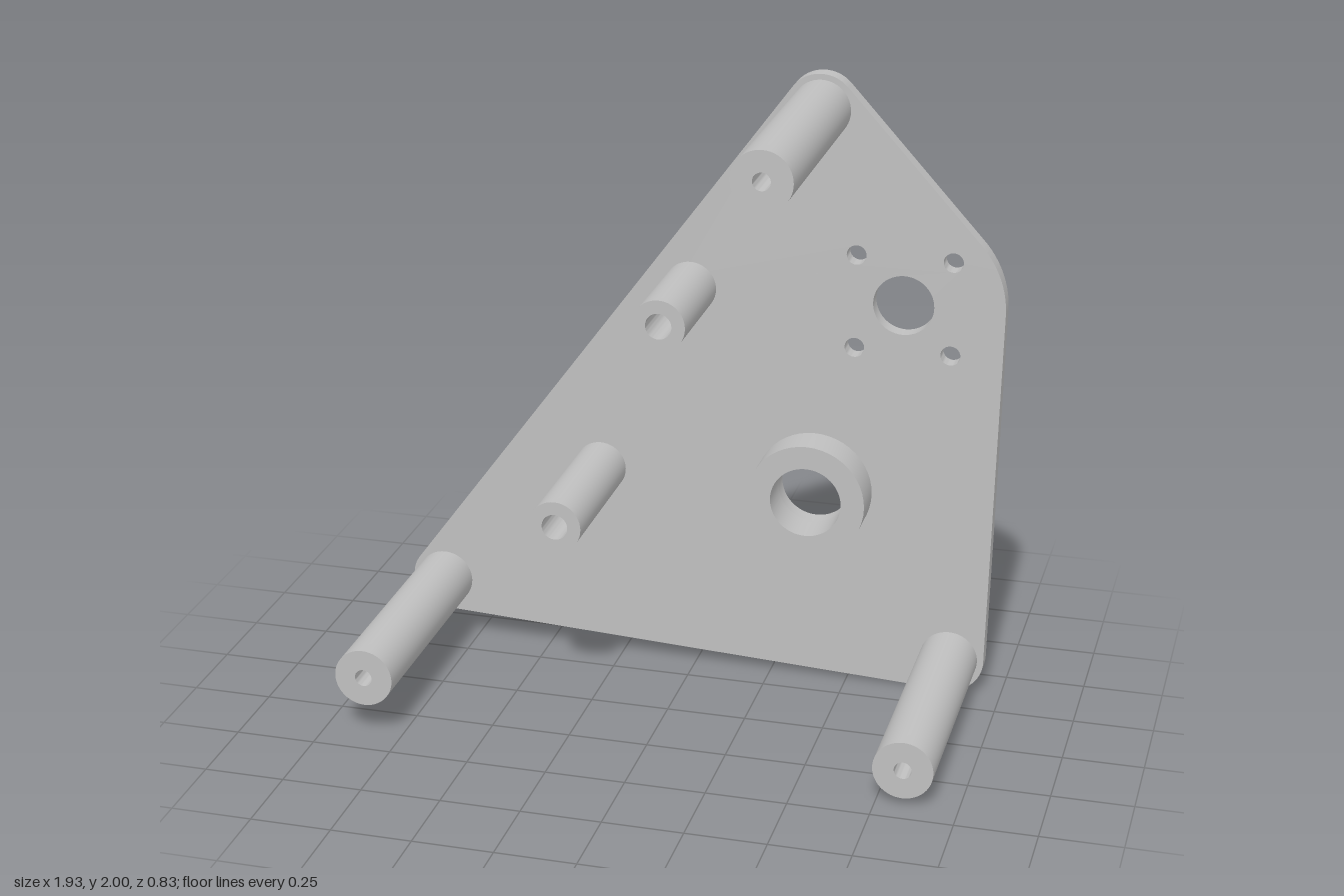
import * as THREE from 'three';
import { toCreasedNormals } from 'three/addons/utils/BufferGeometryUtils.js';

const BACK = -0.415, FACE = -0.362, FRONT = 0.415;

// Rounded outline wrapped around circles [x, y, r] listed counterclockwise
function hullShape(circles) {
  const n = circles.length;
  const normals = circles.map(([x, y, r], i) => {
    const [x2, y2, r2] = circles[(i + 1) % n];
    const dx = x2 - x, dy = y2 - y;
    return Math.atan2(dy, dx) - Math.acos((r - r2) / Math.hypot(dx, dy));
  });
  const shape = new THREE.Shape();
  circles.forEach(([x, y, r], i) => {
    shape.absarc(x, y, r, normals[(i + n - 1) % n], normals[i], false);
  });
  shape.closePath();
  return shape;
}

// Bored cylinder along z; a depth makes the bore blind, otherwise it goes through
function boredCylinder(radius, bore, front, depth) {
  const profile = [[radius, FACE], [radius, front], [bore, front]];
  if (depth) profile.push([bore, front - depth], [0, front - depth]);
  else profile.push([bore, FACE]);
  const lathe = new THREE.LatheGeometry(profile.map(([x, y]) => new THREE.Vector2(x, y)), 48);
  return toCreasedNormals(lathe.rotateX(Math.PI / 2), Math.PI / 5);
}

export function createModel() {
  const group = new THREE.Group();
  const metal = new THREE.MeshStandardMaterial({ color: 0xc0c0c0 });
  metal.name = 'grey metal';

  const add = (name, geometry, x = 0, y = 0) => {
    const mesh = new THREE.Mesh(geometry, metal);
    mesh.name = name;
    mesh.position.set(x, y, 0);
    group.add(mesh);
  };

  // Mounting plate with its through holes
  const plate = hullShape([
    [-0.86, 0.2, 0.11], [0.83, 0.115, 0.112], [0.65, 1.29, 0.315], [0.38, 1.89, 0.11],
  ]);
  const holes = [
    [0.65, 1.29, 0.095], [0.38, 0.655, 0.113], [-0.025, 1.29, 0.041], [-0.32, 0.655, 0.041],
  ];
  for (const sx of [-1, 1]) {
    for (const sy of [-1, 1]) holes.push([0.65 + sx * 0.15, 1.29 + sy * 0.15, 0.031]);
  }
  for (const [x, y, r] of holes) {
    plate.holes.push(new THREE.Path().absarc(x, y, r, 0, Math.PI * 2, true));
  }
  const plateGeometry = new THREE.ExtrudeGeometry(plate, {
    depth: FACE - BACK, bevelEnabled: false, curveSegments: 24,
  });
  add('mountingPlate', toCreasedNormals(plateGeometry.translate(0, 0, BACK), Math.PI / 5));

  // Long corner pillars with blind screw holes
  for (const [name, x, y] of [
    ['topPillar', 0.38, 1.89], ['lowerRightPillar', -0.86, 0.2], ['lowerLeftPillar', 0.83, 0.115],
  ]) add(name, boredCylinder(0.092, 0.027, FRONT, 0.22), x, y);

  // Shorter hollow standoffs
  add('upperStandoff', boredCylinder(0.083, 0.041, 0.018), -0.025, 1.29);
  add('lowerStandoff', boredCylinder(0.083, 0.041, 0.147), -0.32, 0.655);

  // Wide bearing boss
  add('bearingBoss', boredCylinder(0.187, 0.113, -0.24), 0.38, 0.655);

  return group;
}
